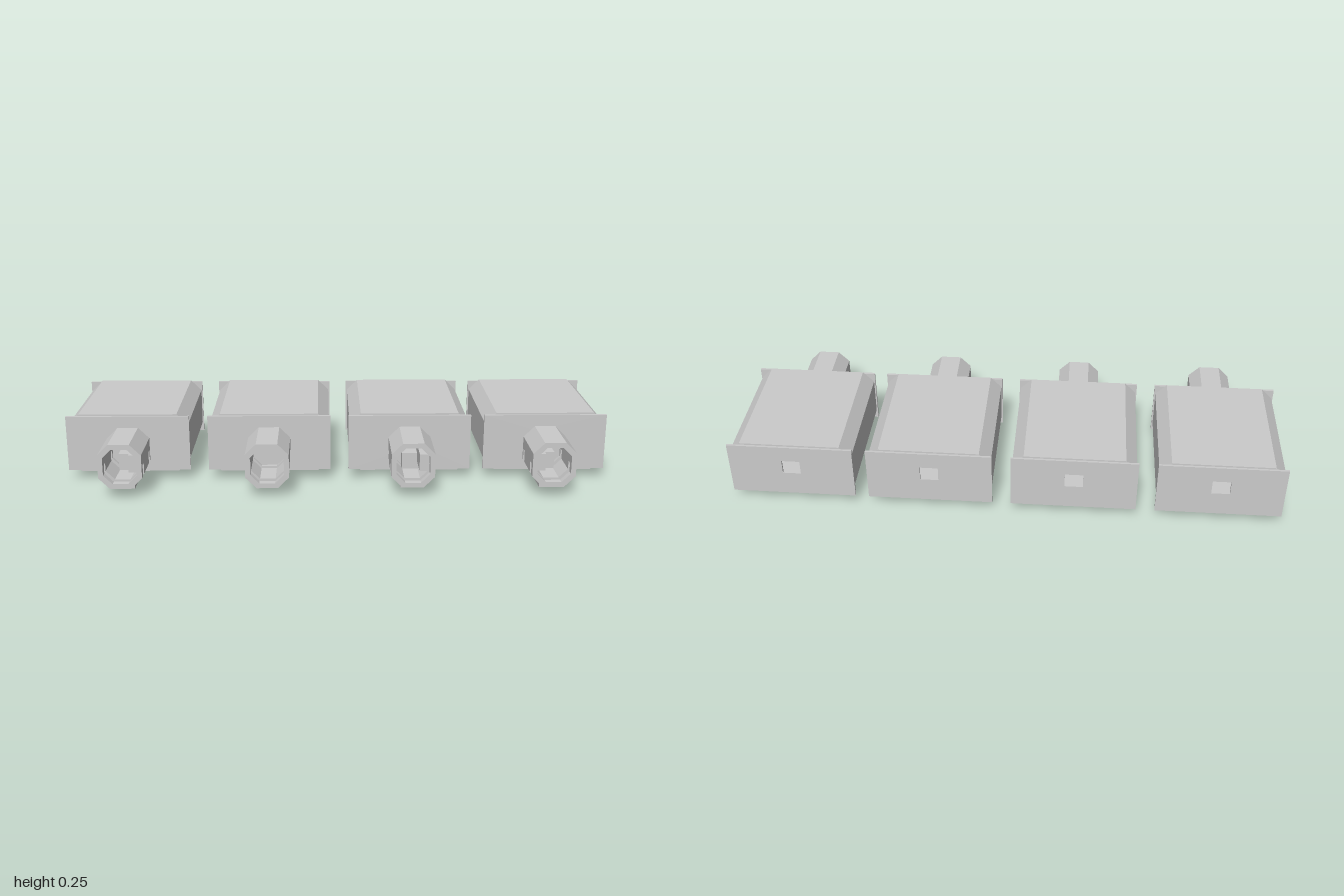
import * as THREE from 'three';

const material = new THREE.MeshStandardMaterial({ color: 0xcccccc, flatShading: true, side: THREE.DoubleSide });

// Chamfered rectangle outline, optionally different chamfer from its neighbours
function outline(Type, x0, x1, y0, y1, c = 0) {
  const p = c
    ? [[x0 + c, y0], [x1 - c, y0], [x1, y0 + c], [x1, y1 - c], [x1 - c, y1], [x0 + c, y1], [x0, y1 - c], [x0, y0 + c]]
    : [[x0, y0], [x1, y0], [x1, y1], [x0, y1]];
  return new Type(p.map(([x, y]) => new THREE.Vector2(x, y)));
}

function slab(group, name, shape, z0, z1) {
  const geometry = new THREE.ExtrudeGeometry(shape, { depth: z1 - z0, bevelEnabled: false });
  geometry.translate(0, 0, z0);
  const mesh = new THREE.Mesh(geometry, material);
  mesh.name = name;
  group.add(mesh);
}

function block(group, name, x0, x1, y0, y1, z0, z1) {
  slab(group, name, outline(THREE.Shape, x0, x1, y0, y1), z0, z1);
}

const ring = () => {
  const shape = outline(THREE.Shape, -0.078, 0.078, 0.035, 0.2, 0.04);
  shape.holes.push(outline(THREE.Path, -0.06, 0.06, 0.053, 0.182, 0.032));
  return shape;
};

// Upper arch of the socket, left where the clip slits are cut
const arch = () => new THREE.Shape([
  [0.078, 0.117], [0.078, 0.16], [0.038, 0.2], [-0.038, 0.2], [-0.078, 0.16], [-0.078, 0.117],
  [-0.06, 0.117], [-0.06, 0.15], [-0.028, 0.182], [0.028, 0.182], [0.06, 0.15], [0.06, 0.117],
].map(([x, y]) => new THREE.Vector2(x, y)));

function createUnit(x, keySide, bodyTab) {
  const unit = new THREE.Group();
  unit.name = 'unit';
  unit.position.x = x;

  // Hollow housing with chamfered long edges
  const shell = outline(THREE.Shape, -0.222, 0.222, 0.028, 0.249, 0.041);
  shell.holes.push(outline(THREE.Path, -0.21, 0.21, 0.04, 0.237, 0.036));
  slab(unit, 'housing', shell, -0.339, 0.141);

  // Square-cornered end plates with a window
  for (const [name, z0, z1] of [['frontPlate', 0.141, 0.15], ['backPlate', -0.347, -0.339]]) {
    const plate = outline(THREE.Shape, -0.227, 0.227, 0.035, 0.243);
    plate.holes.push(outline(THREE.Path, -0.033, 0.033, 0.128, 0.182));
    slab(unit, name, plate, z0, z1);
  }

  // Socket sections, alternating full ring and slit
  const stops = [0.15, 0.163, 0.188, 0.3, 0.325, 0.35];
  for (let i = 0; i < 5; i++) {
    slab(unit, i % 2 ? 'socketSlit' : 'socket', i % 2 ? arch() : ring(), stops[i], stops[i + 1]);
  }

  // Catch under the socket or the housing
  if (bodyTab) block(unit, 'housingCatch', -0.033, 0.033, 0, 0.035, -0.13, -0.07);
  else block(unit, 'socketCatch', -0.041, 0.041, 0.015, 0.04, 0.192, 0.296);

  // Stepped key inside the socket
  if (keySide) {
    block(unit, 'keyBase', -0.03, 0.03, 0.05, 0.115, 0.15, 0.2);
    const inner = keySide * 0.025, outer = keySide * 0.06;
    block(unit, 'keyStep', Math.min(inner, outer), Math.max(inner, outer), 0.085, 0.148, 0.15, 0.315);
  }
  return unit;
}

export function createModel() {
  const model = new THREE.Group();
  model.name = 'connectorRow';
  model.add(
    createUnit(-0.773, 1, false),
    createUnit(-0.251, 0, true),
    createUnit(0.27, 1, false),
    createUnit(0.773, -1, false),
  );
  return model;
}
